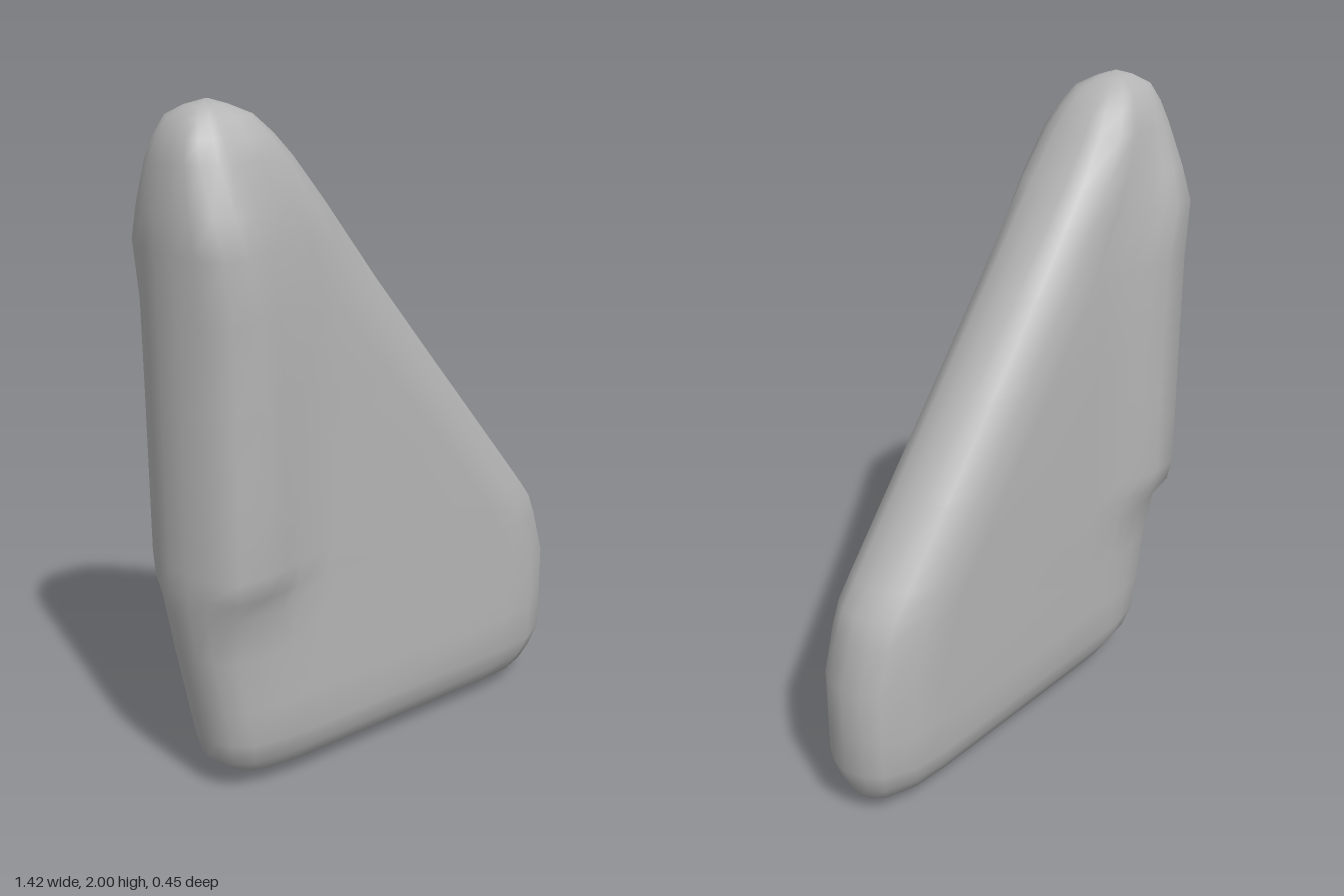
import * as THREE from 'three';
import { mergeVertices } from 'three/addons/utils/BufferGeometryUtils.js';

// Horizontal slices from bottom to top: y, left x, right x, half thickness, spine bulge (0-1)
const slices = [
  [0, -0.4, 0.42, 0, 0],
  [0.02, -0.46, 0.57, 0.045, 0],
  [0.06, -0.55, 0.66, 0.11, 0],
  [0.11, -0.61, 0.685, 0.138, 0],
  [0.18, -0.625, 0.71, 0.163, 0],
  [0.3, -0.648, 0.71, 0.165, 0],
  [0.46, -0.68, 0.71, 0.165, 0],
  [0.6, -0.702, 0.67, 0.165, 0.2],
  [0.67, -0.71, 0.642, 0.165, 0.8],
  [0.74, -0.712, 0.587, 0.165, 1],
  [0.95, -0.712, 0.417, 0.165, 1],
  [1.2, -0.712, 0.214, 0.165, 1],
  [1.45, -0.712, 0.012, 0.165, 1],
  [1.62, -0.712, -0.126, 0.165, 1],
  [1.72, -0.708, -0.207, 0.165, 0.5],
  [1.85, -0.69, -0.312, 0.146, 0],
  [1.91, -0.668, -0.365, 0.12, 0],
  [1.96, -0.64, -0.42, 0.09, 0],
  [1.985, -0.595, -0.48, 0.045, 0],
  [2, -0.545, -0.53, 0, 0],
];

// Rounded left edge: inset, plain half thickness, half thickness on the bulging spine
const leftEdge = [
  [0, 0, 0], [0.012, 0.06, 0.07], [0.035, 0.105, 0.14], [0.085, 0.143, 0.222],
  [0.18, 0.162, 0.224], [0.25, 0.165, 0.212], [0.31, 0.165, 0.19], [0.44, 0.165, 0.165],
];
// Rounded right edge: inset, half thickness
const rightEdge = [[0.26, 0.165], [0.14, 0.155], [0.045, 0.108], [0.013, 0.06], [0, 0]];

// One closed ring: along the front from left to right, then back along the rear
function ring([y, xl, xr, t, bulge]) {
  const s = Math.min(1, (xr - xl) / 0.75);
  const k = t / 0.165;
  const front = [
    ...leftEdge.map(([d, a, b]) => [xl + d * s, (a + (b - a) * bulge) * k]),
    ...rightEdge.map(([d, a]) => [xr - d * s, a * k]),
  ];
  const back = front.slice(1, -1).reverse().map(([x, z]) => [x, -z]);
  return [...front, ...back].map(([x, z]) => [x, y, z]);
}

function loft(rings) {
  const n = rings[0].length;
  const index = [];
  for (let r = 0; r < rings.length - 1; r++) {
    for (let i = 0; i < n; i++) {
      const a = r * n + i, b = r * n + (i + 1) % n;
      index.push(a, b, b + n, a, b + n, a + n);
    }
  }
  const geometry = new THREE.BufferGeometry();
  geometry.setAttribute('position', new THREE.Float32BufferAttribute(rings.flat(2), 3));
  geometry.setIndex(index);
  const merged = mergeVertices(geometry, 1e-5);
  merged.computeVertexNormals();
  return merged;
}

export function createModel() {
  const group = new THREE.Group();
  group.name = 'taperedFin';
  const grey = new THREE.MeshStandardMaterial({ color: 0xb4b4b4 });
  grey.name = 'grey';
  // Soft slab with a thicker spine along its left edge
  const body = new THREE.Mesh(loft(slices.map(ring)), grey);
  body.name = 'finBody';
  group.add(body);
  return group;
}
